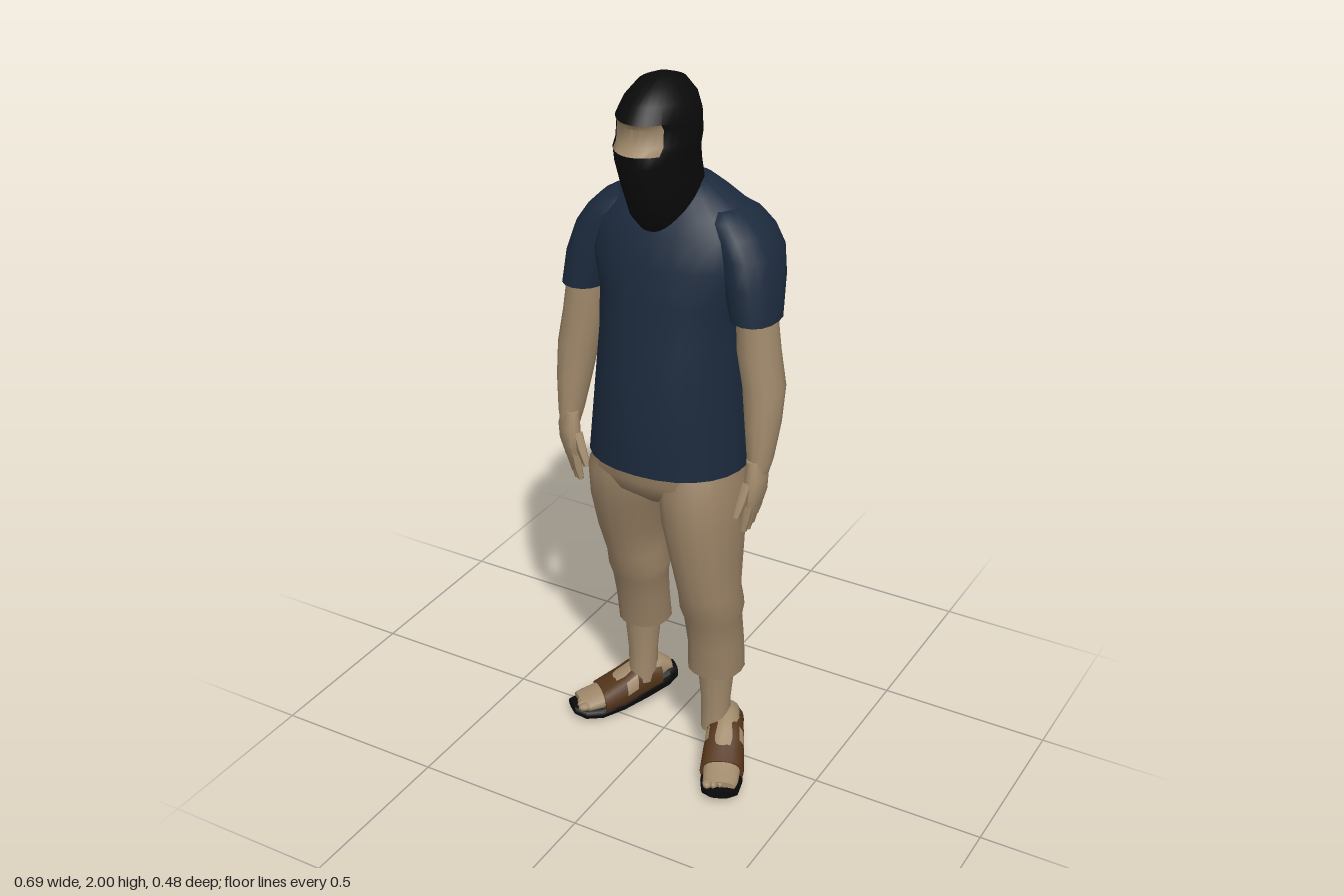
import * as THREE from 'three';
import { toCreasedNormals } from 'three/addons/utils/BufferGeometryUtils.js';

const mat = (name, color) => Object.assign(new THREE.MeshStandardMaterial({ color }), { name });

// Closed skin through rings [cx, y, cz, rx, rz, tilt]; accent(i, j) picks faces for the second material.
function loft(rings, { seg = 16, power = 2.2, taper = 0, accent = () => false } = {}) {
  const rows = [...rings].sort((a, b) => a[1] - b[1]);
  const pos = [], faces = [[], []];
  const bend = v => Math.sign(v) * Math.abs(v) ** (2 / power);
  for (const [cx, y, cz, rx, rz, tilt = 0] of rows) {
    for (let j = 0; j < seg; j++) {
      const a = (j / seg) * Math.PI * 2, s = bend(Math.sin(a)), c = bend(Math.cos(a));
      pos.push(cx + rx * s * (1 - taper * c), y + tilt * rz * c, cz + rz * c);
    }
  }
  const n = rows.length, bottom = n * seg, top = bottom + 1;
  for (const r of [rows[0], rows[n - 1]]) pos.push(r[0], r[1], r[2]);
  for (let j = 0; j < seg; j++) {
    const k = (j + 1) % seg;
    for (let i = 0; i < n - 1; i++) {
      const a = i * seg + j, b = i * seg + k;
      faces[accent(i, j) ? 1 : 0].push(a, b, b + seg, a, b + seg, a + seg);
    }
    faces[0].push(bottom, k, j, top, (n - 1) * seg + j, (n - 1) * seg + k);
  }
  const geo = new THREE.BufferGeometry();
  geo.setAttribute('position', new THREE.Float32BufferAttribute(pos, 3));
  geo.setIndex([...faces[0], ...faces[1]]);
  geo.addGroup(0, faces[0].length, 0);
  if (faces[1].length) geo.addGroup(faces[0].length, faces[1].length, 1);
  return toCreasedNormals(geo, 0.8);
}

export function createModel() {
  const black = mat('black fabric', 0x0a0a0a);
  const navy = mat('navy cotton', 0x1c2a3d);
  const skin = mat('skin', 0xa0896b);
  const khaki = mat('khaki trousers', 0x957e62);
  const brown = mat('brown leather', 0x533419);

  const model = new THREE.Group();
  model.name = 'standingFigure';
  const add = (name, geo, material, parent = model) => {
    const mesh = new THREE.Mesh(geo, material);
    mesh.name = name;
    parent.add(mesh);
    return mesh;
  };
  const mirror = (rings, s) => rings.map(([x, ...rest]) => [x * s, ...rest]);

  // Hooded head with a recessed eye slot
  add('hoodedHead', loft([
    [-0.01, 1.64, -0.05, 0.082, 0.11, -0.3],
    [-0.01, 1.69, -0.022, 0.09, 0.122, -0.35],
    [-0.015, 1.75, -0.005, 0.095, 0.128, -0.25],
    [-0.02, 1.81, 0.006, 0.10, 0.138, -0.1],
    [-0.02, 1.832, 0.008, 0.104, 0.138],
    [-0.02, 1.85, -0.002, 0.105, 0.127],
    [-0.02, 1.895, -0.004, 0.104, 0.124],
    [-0.02, 1.91, 0, 0.102, 0.132],
    [-0.02, 1.95, -0.01, 0.086, 0.115],
    [-0.02, 1.985, -0.018, 0.058, 0.08],
    [-0.02, 2.0, -0.025, 0.022, 0.03],
  ], {
    seg: 32, power: 2, taper: 0.12,
    accent: (i, j) => i >= 4 && i <= 6 && (j < 4 || j >= 28),
  }), [black, skin]);

  // Shirt body
  add('shirt', loft([
    [-0.005, 0.925, -0.03, 0.224, 0.185, 0.07],
    [-0.004, 1.0, -0.032, 0.218, 0.187],
    [0, 1.15, -0.037, 0.208, 0.189],
    [0, 1.3, -0.052, 0.202, 0.184],
    [0, 1.42, -0.065, 0.21, 0.175],
    [0, 1.52, -0.073, 0.245, 0.167],
    [0, 1.6, -0.082, 0.238, 0.145],
    [0.003, 1.645, -0.087, 0.203, 0.122],
    [-0.003, 1.69, -0.09, 0.14, 0.09],
    [-0.005, 1.722, -0.09, 0.09, 0.062],
  ], { seg: 24, power: 2.25, taper: 0.06 }), navy);

  // Trousers: seat and two cropped legs
  add('trouserSeat', loft([
    [-0.003, 0.97, -0.03, 0.2, 0.15],
    [-0.003, 0.9, -0.028, 0.218, 0.158],
    [0, 0.85, -0.028, 0.17, 0.135],
    [0, 0.815, -0.028, 0.06, 0.095],
  ], { power: 2.4 }), khaki);
  const legs = {
    left: [
      [0.1, 0.95, -0.028, 0.095, 0.125],
      [0.113, 0.88, -0.017, 0.112, 0.145], [0.125, 0.78, -0.005, 0.108, 0.14],
      [0.15, 0.66, 0.02, 0.092, 0.118], [0.163, 0.57, 0.03, 0.083, 0.098],
      [0.17, 0.52, 0.028, 0.088, 0.095], [0.171, 0.48, 0.022, 0.079, 0.086],
      [0.18, 0.4, 0.02, 0.077, 0.083], [0.183, 0.31, 0.02, 0.079, 0.081],
    ],
    right: [
      [-0.104, 0.95, -0.032, 0.095, 0.125],
      [-0.12, 0.88, -0.036, 0.112, 0.145], [-0.128, 0.78, -0.045, 0.105, 0.138],
      [-0.138, 0.66, -0.06, 0.085, 0.115], [-0.13, 0.57, -0.07, 0.078, 0.098],
      [-0.123, 0.52, -0.075, 0.087, 0.094], [-0.123, 0.48, -0.08, 0.079, 0.083],
      [-0.123, 0.4, -0.093, 0.076, 0.077], [-0.122, 0.31, -0.105, 0.076, 0.077],
    ],
  };
  for (const side of ['left', 'right']) add(side + 'TrouserLeg', loft(legs[side]), khaki);

  // Sleeves, arms and hands
  const sleeve = [
    [0.135, 1.662, -0.09, 0.05, 0.07], [0.155, 1.64, -0.09, 0.07, 0.095],
    [0.185, 1.605, -0.088, 0.075, 0.108], [0.215, 1.555, -0.08, 0.077, 0.112],
    [0.237, 1.485, -0.06, 0.073, 0.104], [0.256, 1.39, -0.037, 0.063, 0.083],
  ];
  const arm = [
    [0.255, 1.43, -0.035, 0.05, 0.06], [0.267, 1.3, -0.032, 0.056, 0.062],
    [0.286, 1.2, -0.03, 0.055, 0.062], [0.293, 1.1, -0.015, 0.046, 0.056],
    [0.296, 1.0, 0.002, 0.033, 0.043], [0.296, 0.95, 0.012, 0.022, 0.034],
  ];
  const palm = [
    [0, 0.06, 0, 0.022, 0.034], [0.004, 0.01, 0, 0.028, 0.048],
    [0.002, -0.04, 0, 0.026, 0.054], [-0.002, -0.075, -0.002, 0.019, 0.05],
  ];
  const finger = [
    [0, 0.015, 0, 0.014, 0.014], [-0.006, -0.035, 0, 0.013, 0.013],
    [-0.014, -0.078, 0, 0.009, 0.009],
  ];
  for (const [side, s, turn] of [['left', 1, 0.1], ['right', -1, 0.85]]) {
    add(side + 'Sleeve', loft(mirror(sleeve, s)), navy);
    add(side + 'Arm', loft(mirror(arm, s), { seg: 12 }), skin);
    const hand = new THREE.Group();
    hand.name = side + 'Hand';
    hand.position.set(s * 0.29, 0.945, 0.018);
    hand.rotation.y = turn;
    model.add(hand);
    add('palm', loft(mirror(palm, s), { seg: 12 }), skin, hand);
    for (let i = 0; i < 4; i++) {
      const f = add('finger', loft(mirror(finger, s), { seg: 8 }), skin, hand);
      f.position.set(0, -0.07, 0.036 - i * 0.025);
      f.rotation.x = -0.06 + i * 0.04;
      f.scale.y = [0.95, 1.05, 0.98, 0.8][i];
    }
    const thumb = add('thumb', loft(mirror(finger, s), { seg: 8 }), skin, hand);
    thumb.position.set(-s * 0.008, -0.015, 0.04);
    thumb.rotation.x = -0.4;
    thumb.scale.set(1.1, 1.05, 1.2);
  }

  // Foot parts run heel to toe; rings are [x, along, -height, half width, half thickness]
  const along = (rings, opts) => loft(rings, opts).rotateX(Math.PI / 2);
  const sole = [
    [0, 0, -0.092, 0.028, 0.022], [0, 0.03, -0.087, 0.046, 0.032],
    [0, 0.1, -0.06, 0.05, 0.031], [0, 0.18, -0.032, 0.056, 0.024],
    [0, 0.25, -0.02, 0.06, 0.02], [0, 0.3, -0.024, 0.053, 0.018],
    [0, 0.328, -0.034, 0.032, 0.013],
  ];
  const foot = [
    [0, 0.015, -0.112, 0.024, 0.02], [0, 0.05, -0.12, 0.037, 0.04],
    [0, 0.1, -0.115, 0.042, 0.05], [0, 0.16, -0.085, 0.046, 0.045],
    [0, 0.23, -0.054, 0.053, 0.03], [0, 0.285, -0.046, 0.05, 0.021],
    [0, 0.305, -0.046, 0.044, 0.014],
  ];
  // Strap with a small opening on each side of the instep
  const strap = [
    [0, 0.055, -0.1, 0.049, 0.042], [0, 0.09, -0.096, 0.051, 0.054],
    [0, 0.135, -0.086, 0.056, 0.057], [0, 0.17, -0.07, 0.059, 0.05],
    [0, 0.24, -0.046, 0.063, 0.037],
  ];
  const openings = (i, j) => i === 2 && [4, 5, 10, 11].includes(j);
  const feet = [
    ['left', 1, 0.178, -0.07, 0.41, 0.185, 0.024],
    ['right', -1, -0.06, -0.17, -0.69, -0.118, -0.083],
  ];
  for (const [side, s, hx, hz, turn, ax, az] of feet) {
    add(side + 'Ankle', loft([
      [ax, 0.38, az, 0.055, 0.06], [ax, 0.27, az, 0.047, 0.051],
      [ax, 0.2, az, 0.041, 0.044], [ax, 0.1, az, 0.04, 0.046],
    ], { seg: 12 }), skin);
    const g = new THREE.Group();
    g.name = side + 'SandalFoot';
    g.position.set(hx, 0, hz);
    g.rotation.y = turn;
    model.add(g);
    add('sole', along(sole, { power: 3 }), black, g);
    add('foot', along(foot), skin, g);
    add('sandalStrap', along(strap, { power: 2.5, accent: openings }), [brown, skin], g);
    for (let i = 0; i < 5; i++) {
      const toe = add('toe', new THREE.SphereGeometry(0.012, 8, 6), skin, g);
      toe.position.set(s * (-0.036 + i * 0.018), 0.049, 0.3 - i * i * 0.002);
      toe.scale.set(i ? 0.9 : 1.2, 1, 1.7);
    }
  }
  return model;
}
